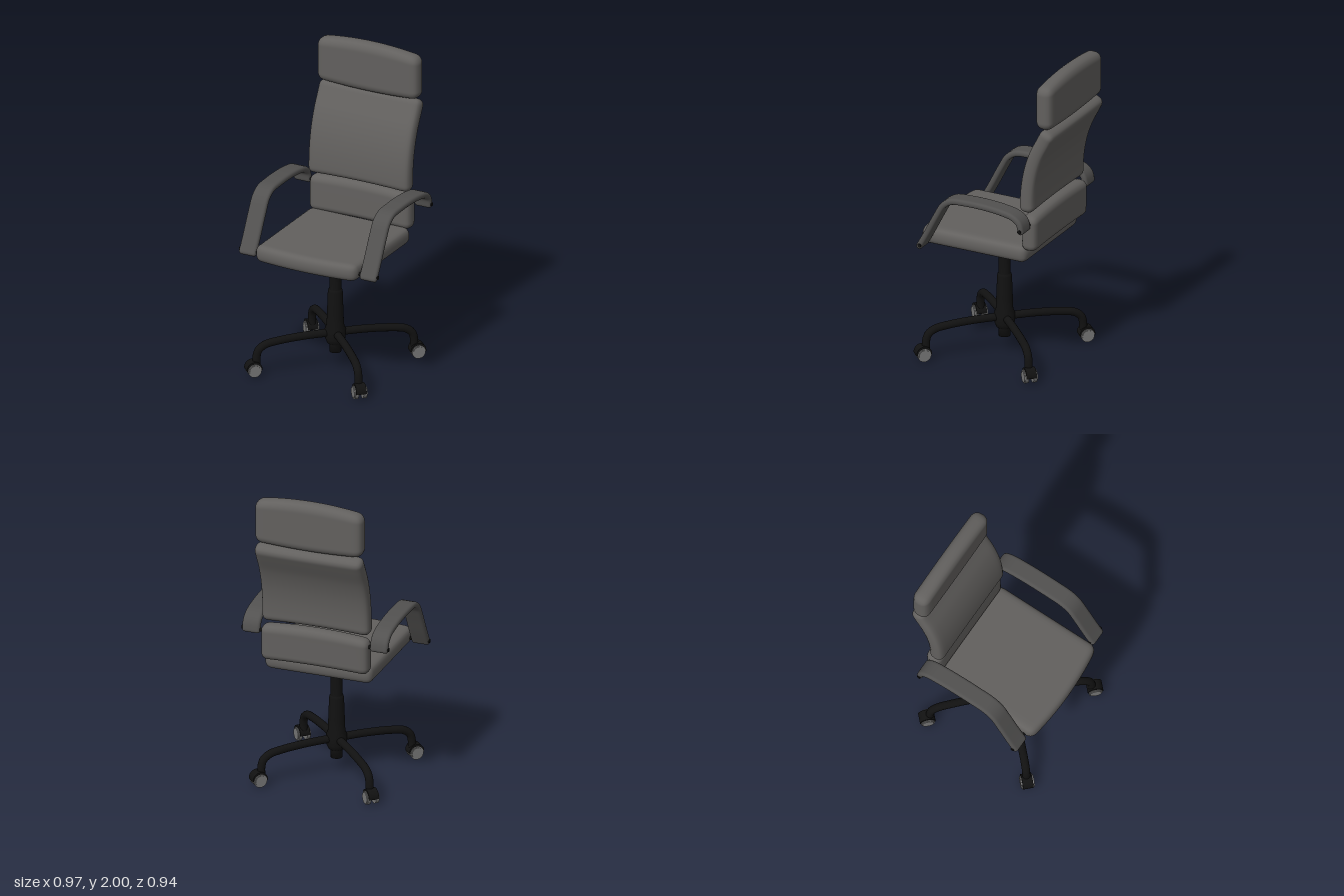
import * as THREE from 'three';
import { mergeVertices } from 'three/addons/utils/BufferGeometryUtils.js';

const fabric = new THREE.MeshStandardMaterial({ color: 0x62605e });
const armFabric = new THREE.MeshStandardMaterial({ color: 0x525150 });
const black = new THREE.MeshStandardMaterial({ color: 0x111111 });
const capGrey = new THREE.MeshStandardMaterial({ color: 0x777777 });

function add(parent, name, geometry, material, x = 0, y = 0, z = 0) {
  const mesh = new THREE.Mesh(geometry, material);
  mesh.name = name;
  mesh.position.set(x, y, z);
  parent.add(mesh);
  return mesh;
}

// Rounded pad bent along a [z, y] path; bowStart and bowEnd push out the middle of its two ends.
function padGeometry(width, thick, r, points, bowStart = 0, bowEnd = 0) {
  const path = new THREE.CatmullRomCurve3(points.map(([z, y]) => new THREE.Vector3(0, y, z)));
  const len = path.getLength();
  const half = new THREE.Vector3(width / 2, len / 2, thick / 2);
  const inner = half.clone().subScalar(r);
  const outerMin = inner.clone().negate();
  let geo = new THREE.BoxGeometry(2, 2, 2, 24, 56, 8);
  geo.deleteAttribute('uv');
  geo.deleteAttribute('normal');
  const pos = geo.attributes.position;
  const p = new THREE.Vector3(), core = new THREE.Vector3();
  const ease = (u) => Math.sin(u * Math.PI / 2);
  for (let i = 0; i < pos.count; i++) {
    // rows crowd towards the edges, then the edges are rounded
    p.set(ease(pos.getX(i)), ease(pos.getY(i)), ease(pos.getZ(i))).multiply(half);
    core.copy(p).clamp(outerMin, inner);
    p.sub(core).setLength(r).add(core);
    const k = p.y / half.y;
    p.y += (1 - (p.x / half.x) ** 2) * k * (k > 0 ? bowEnd : -bowStart * -1);
    // bend along the path
    const t = p.y / len + 0.5;
    const tc = THREE.MathUtils.clamp(t, 0, 1);
    const c = path.getPointAt(tc), d = path.getTangentAt(tc);
    const over = (t - tc) * len;
    pos.setXYZ(i, p.x, c.y + d.y * over - d.z * p.z, c.z + d.z * over + d.y * p.z);
  }
  geo = mergeVertices(geo, 1e-5);
  geo.computeVertexNormals();
  return geo;
}

function buildCaster() {
  const caster = new THREE.Group();
  caster.name = 'caster';
  // local x is the wheel axle
  const wheel = new THREE.CylinderGeometry(0.043, 0.043, 0.022, 24).rotateZ(Math.PI / 2);
  const cap = new THREE.CylinderGeometry(0.036, 0.036, 0.006, 24).rotateZ(Math.PI / 2);
  for (const s of [-1, 1]) {
    add(caster, 'wheel', wheel, capGrey, s * 0.027, 0.043, 0);
    add(caster, 'wheelCap', cap, capGrey, s * 0.04, 0.043, 0);
  }
  const arch = new THREE.Shape();
  arch.absarc(0, 0, 0.049, -0.15, Math.PI + 0.15, false);
  const hood = new THREE.ExtrudeGeometry(arch, { depth: 0.066, bevelEnabled: false, curveSegments: 20 });
  hood.translate(0, 0, -0.033).rotateY(Math.PI / 2);
  add(caster, 'casterHood', hood, black, 0, 0.05, 0);
  return caster;
}

function buildBase() {
  const base = new THREE.Group();
  base.name = 'base';
  const profile = [
    [0, 0.1], [0.037, 0.1], [0.037, 0.15], [0.05, 0.16], [0.063, 0.19], [0.065, 0.25],
    [0.054, 0.28], [0.051, 0.36], [0.046, 0.5], [0.042, 0.515], [0.037, 0.52],
    [0.037, 0.7], [0.046, 0.7], [0.05, 0.72], [0.068, 0.745], [0.09, 0.765], [0.09, 0.78], [0, 0.78],
  ].map(([x, y]) => new THREE.Vector2(x, y));
  add(base, 'column', new THREE.LatheGeometry(profile, 32), black);

  // four bent legs on the diagonals
  const legPath = new THREE.CatmullRomCurve3([
    [0.03, 0.228], [0.2, 0.226], [0.36, 0.214], [0.45, 0.197], [0.492, 0.165], [0.505, 0.12], [0.505, 0.07],
  ].map(([r, y]) => new THREE.Vector3(0, y, r)));
  const legGeo = new THREE.TubeGeometry(legPath, 36, 0.025, 14);
  for (let i = 0; i < 4; i++) {
    const leg = new THREE.Group();
    leg.name = 'leg';
    leg.rotation.y = Math.PI / 4 + i * Math.PI / 2;
    add(leg, 'legTube', legGeo, black);
    const caster = buildCaster();
    caster.position.z = 0.525;
    leg.add(caster);
    base.add(leg);
  }
  base.position.z = 0.04;
  return base;
}

export function createModel() {
  const chair = new THREE.Group();
  chair.name = 'officeChair';
  chair.add(buildBase());

  // cushions
  add(chair, 'seat', padGeometry(0.71, 0.11, 0.045,
    [[0.435, 0.825], [0.2, 0.825], [-0.05, 0.825], [-0.29, 0.825]], 0.03, 0), fabric);
  add(chair, 'lumbarCushion', padGeometry(0.71, 0.105, 0.045,
    [[-0.305, 0.855], [-0.307, 0.97], [-0.31, 1.09]], -0.01, 0.02), fabric);
  add(chair, 'backrest', padGeometry(0.71, 0.098, 0.042,
    [[-0.288, 1.11], [-0.289, 1.2], [-0.298, 1.3], [-0.318, 1.4], [-0.352, 1.5], [-0.402, 1.6], [-0.44, 1.675]],
    -0.01, -0.005), fabric);
  add(chair, 'headrest', padGeometry(0.71, 0.112, 0.05,
    [[-0.408, 1.69], [-0.408, 1.83], [-0.408, 1.97]], 0.015, 0.03), fabric);

  // armrests with their fixing pins
  const armGeo = padGeometry(0.118, 0.04, 0.019, [
    [0.396, 0.788], [0.34, 0.89], [0.265, 1.035], [0.22, 1.11], [0.165, 1.145], [0.08, 1.153],
    [-0.06, 1.153], [-0.18, 1.142], [-0.26, 1.124], [-0.305, 1.09], [-0.322, 1.02],
  ]);
  const pin = new THREE.CylinderGeometry(0.012, 0.012, 0.15, 16).rotateZ(Math.PI / 2);
  for (const s of [-1, 1]) {
    const side = s > 0 ? 'left' : 'right';
    add(chair, side + 'Armrest', armGeo, armFabric, s * 0.422);
    add(chair, side + 'LowerPin', pin, black, s * 0.41, 0.815, 0.378);
    add(chair, side + 'UpperPin', pin, black, s * 0.41, 1.045, -0.317);
  }
  return chair;
}
